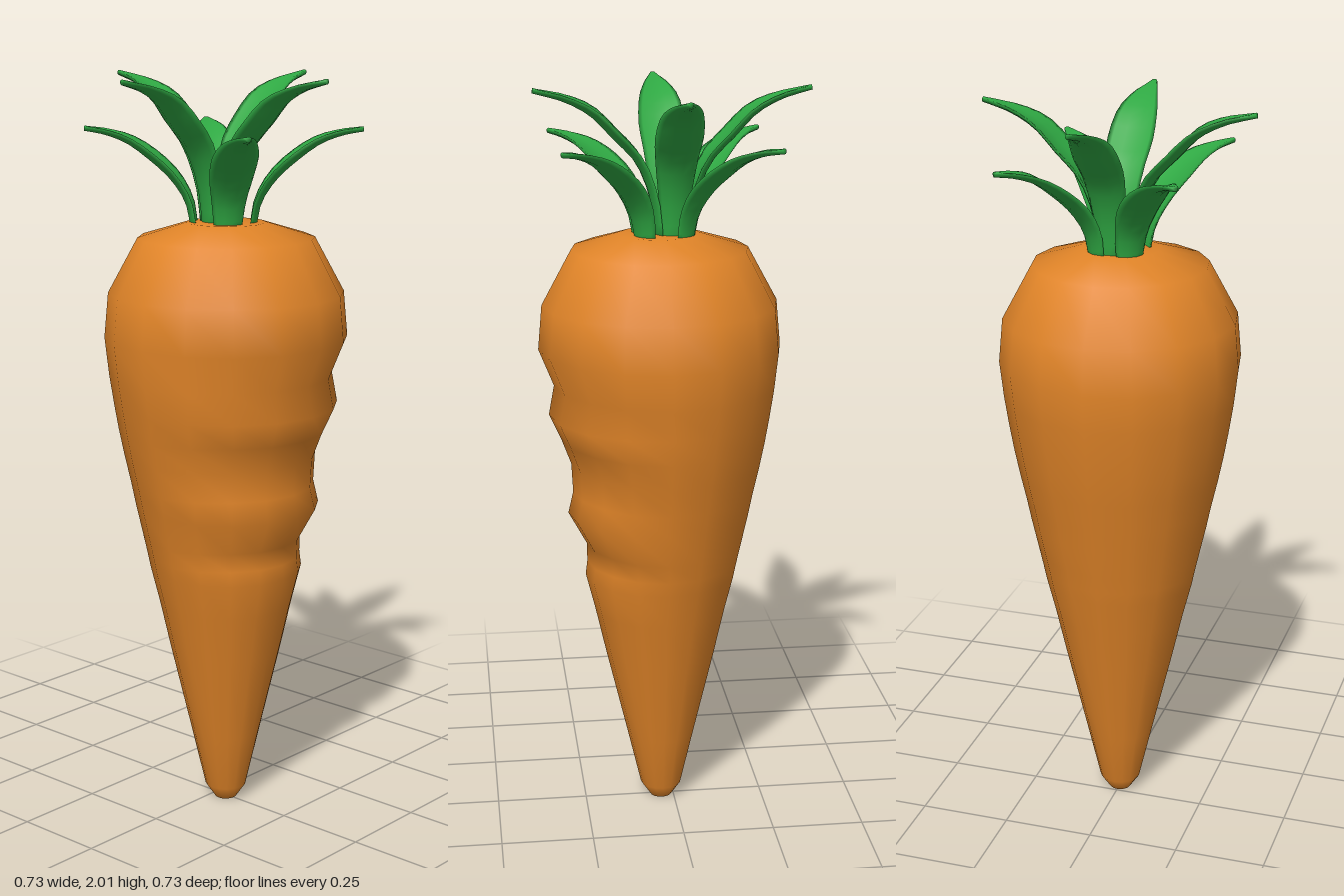
import * as THREE from 'three';
import { mergeVertices } from 'three/addons/utils/BufferGeometryUtils.js';

// Root profile: height, radius, radius left on the bitten side
const ROOT = [
  [0, 0, 0], [0, 0.03, 0.03], [0.04, 0.057, 0.057], [0.2, 0.094, 0.094],
  [0.45, 0.153, 0.153], [0.58, 0.182, 0.182], [0.68, 0.207, 0.207], [0.72, 0.215, 0.202],
  [0.77, 0.226, 0.203], [0.86, 0.246, 0.252], [0.92, 0.258, 0.238], [1.0, 0.276, 0.242],
  [1.07, 0.29, 0.268], [1.14, 0.302, 0.3], [1.22, 0.314, 0.285], [1.32, 0.325, 0.325],
  [1.44, 0.314, 0.314], [1.585, 0.235, 0.235], [1.625, 0.105, 0.105], [1.625, 0, 0],
];

// Leaf spines: distance from centre, height, width
const TALL = [
  [0.035, 1.6, 0.07], [0.05, 1.72, 0.085], [0.09, 1.82, 0.11], [0.15, 1.885, 0.124],
  [0.21, 1.945, 0.108], [0.28, 1.98, 0.065], [0.362, 2.0, 0.014],
];
const LOW = [
  [0.075, 1.6, 0.07], [0.09, 1.68, 0.09], [0.13, 1.745, 0.115], [0.19, 1.8, 0.12],
  [0.25, 1.84, 0.09], [0.31, 1.86, 0.05], [0.365, 1.868, 0.016],
];

function rootGeometry() {
  const lathe = new THREE.LatheGeometry(ROOT.map(([y, r]) => new THREE.Vector2(r, y)), 16);
  const p = lathe.attributes.position;
  // Pull the +x side in to the bitten radius, fading towards front and back
  for (let i = 0; i < p.count; i++) {
    const [, r, bitten] = ROOT[i % ROOT.length];
    if (r === 0) continue;
    const angle = Math.abs(Math.atan2(p.getZ(i), p.getX(i)));
    const fade = 1 - THREE.MathUtils.smoothstep(angle, 0.8, 1.5);
    const k = 1 + (bitten / r - 1) * fade;
    p.setX(i, p.getX(i) * k);
    p.setZ(i, p.getZ(i) * k);
  }
  lathe.deleteAttribute('uv');
  lathe.deleteAttribute('normal');
  const g = mergeVertices(lathe, 1e-4);
  g.computeVertexNormals();
  return g;
}

// Thin cupped leaf along +x, lofted through oval cross-sections
function leafGeometry(spine) {
  const curve = new THREE.CatmullRomCurve3(spine.map(([r, y]) => new THREE.Vector3(r, y, 0)));
  const widths = new THREE.CatmullRomCurve3(spine.map(([, , w], i) => new THREE.Vector3(i, w, 0)));
  const rows = 14, sides = 10, pos = [], idx = [];
  for (let i = 0; i <= rows; i++) {
    const t = i / rows;
    const c = curve.getPoint(t), d = curve.getTangent(t), w = widths.getPoint(t).y;
    for (let j = 0; j < sides; j++) {
      const a = (j / sides) * Math.PI * 2;
      const lift = 0.16 * w * (Math.cos(a) ** 2 - 0.4) + 0.007 * Math.sin(a);
      pos.push(c.x - d.y * lift, c.y + d.x * lift, Math.cos(a) * w / 2);
    }
  }
  for (let i = 0; i < rows; i++) {
    for (let j = 0; j < sides; j++) {
      const a = i * sides + j, c = i * sides + (j + 1) % sides;
      idx.push(a, a + sides, c, a + sides, c + sides, c);
    }
  }
  const end = rows * sides;
  for (let j = 1; j < sides - 1; j++) idx.push(0, j, j + 1, end, end + j + 1, end + j);
  const g = new THREE.BufferGeometry();
  g.setAttribute('position', new THREE.Float32BufferAttribute(pos, 3));
  g.setIndex(idx);
  g.computeVertexNormals();
  return g;
}

export function createModel() {
  const model = new THREE.Group();
  model.name = 'carrot';
  const orange = new THREE.MeshStandardMaterial({ color: 0xe08428 });
  const green = new THREE.MeshStandardMaterial({ color: 0x2fa843 });

  const root = new THREE.Mesh(rootGeometry(), orange);
  root.name = 'root';
  root.position.x = 0.035;
  model.add(root);

  const leaves = new THREE.Group();
  leaves.name = 'leaves';
  model.add(leaves);
  const addLeaf = (geometry, name, angle, x, z) => {
    const leaf = new THREE.Mesh(geometry, green);
    leaf.name = name;
    leaf.rotation.y = angle;
    leaf.position.set(x, 0, z);
    leaves.add(leaf);
  };

  // Four tall leaves along the axes
  const tall = leafGeometry(TALL);
  for (let i = 0; i < 4; i++) {
    addLeaf(tall, 'tallLeaf', i * Math.PI / 2, [0, 0, 0, 0.012][i], i % 2 ? 0 : -0.007);
  }

  // Four lower leaves on the diagonals
  const low = leafGeometry(LOW);
  for (const angle of [0.71, Math.PI - 0.71, Math.PI + 0.68, -0.68]) {
    addLeaf(low, 'lowLeaf', angle, 0.025, 0);
  }
  return model;
}
